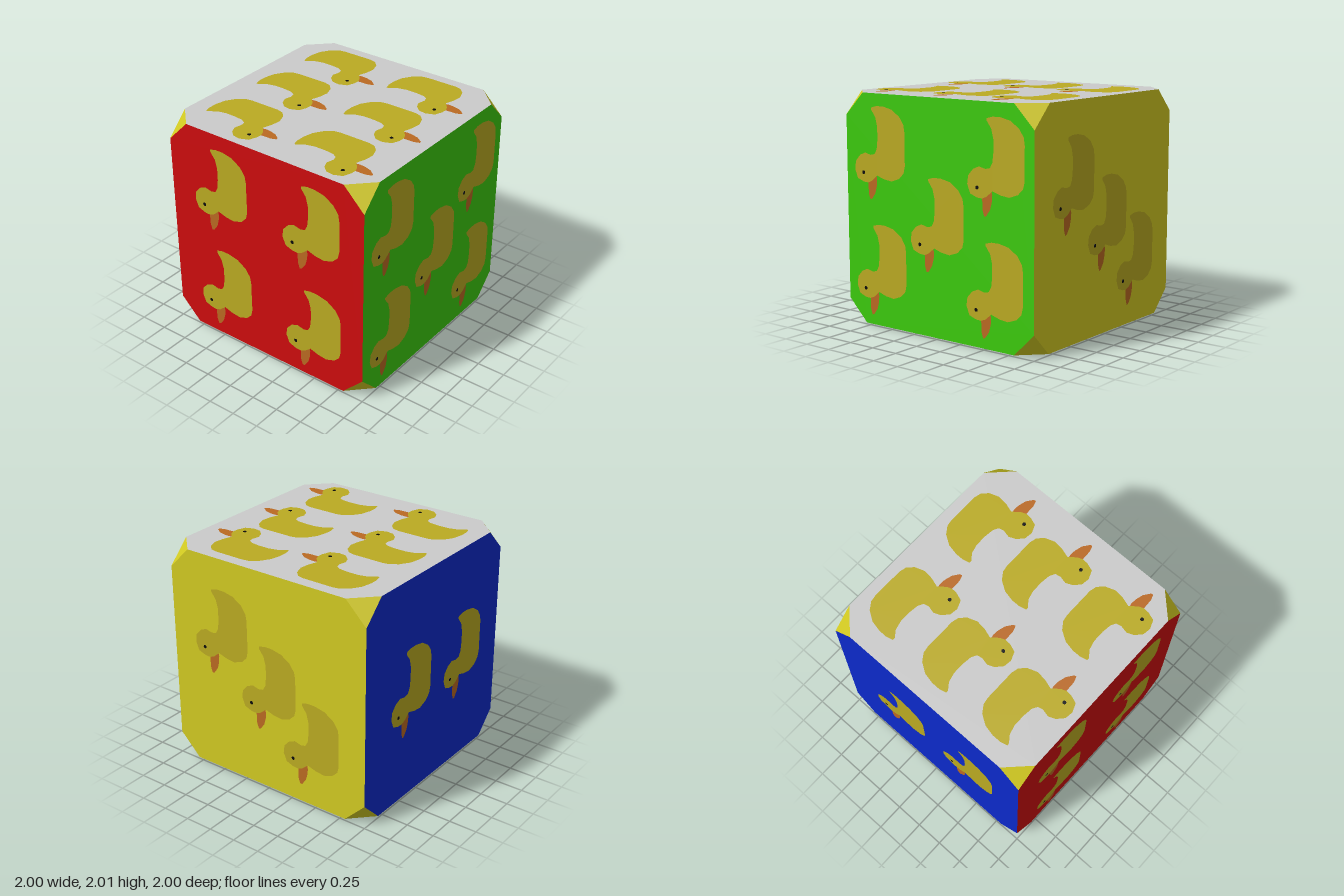
import * as THREE from 'three';

const H = 0.995;   // half the cube's side
const C = 0.195;   // size of the cut corners
const V = THREE.Vector3;

const mat = (name, color) => {
  const m = new THREE.MeshStandardMaterial({ color });
  m.name = name;
  return m;
};

// Duck outline around its eye: tail up, head at lower left, beak down
const BODY = [
  [.10, .555], [.16, .57], [.235, .57], [.33, .55], [.415, .495], [.46, .43], [.47, .37],
  [.47, .09], [.455, .03], [.405, -.02], [.32, -.05], [.235, -.04], [.155, -.015],
  [.095, -.065], [.05, -.083], [0, -.08], [-.07, -.055], [-.10, .02], [-.09, .09],
  [-.04, .145], [.02, .17], [.085, .155], [.13, .165], [.155, .21], [.165, .29],
  [.165, .395], [.145, .475], [.10, .535],
];
const BEAK = [
  [.05, -.07], [.095, -.055], [.145, -.015], [.152, -.05], [.148, -.1], [.13, -.165],
  [.09, -.22], [.07, -.225], [.053, -.175],
];

const flat = (pts) =>
  new THREE.ShapeGeometry(new THREE.Shape(pts.map(([x, y]) => new THREE.Vector2(x, y))));

export function createModel() {
  const red = mat('red', 0xce0c0e), green = mat('green', 0x3ccb0c);
  const grey = mat('light grey', 0xcbcbcb), yellow = mat('yellow', 0xd2ca22);
  const blue = mat('blue', 0x0c2acc), black = mat('black', 0x0a0a0a);
  const gold = mat('duck gold', 0xbbab22), orange = mat('beak orange', 0xbb6a22);

  const model = new THREE.Group();
  model.name = 'duckDie';
  const cube = new THREE.Group();
  cube.position.y = 1.005;
  model.add(cube);

  const add = (parent, name, geometry, material, z = 0) => {
    const mesh = new THREE.Mesh(geometry, material);
    mesh.name = name;
    mesh.position.z = z;
    parent.add(mesh);
    return mesh;
  };

  // Shared geometries
  const k = H - C;
  const octagon = flat([[-k, -H], [k, -H], [H, -k], [H, k], [k, H], [-k, H], [-H, k], [-H, -k]]);
  const body = flat(BODY);
  const beak = flat(BEAK);
  const eyeGeo = new THREE.CylinderGeometry(0.016, 0.016, 0.004, 8).rotateX(Math.PI / 2);
  const tallEyeGeo = new THREE.CylinderGeometry(0.02, 0.02, 0.0095, 8).rotateX(Math.PI / 2);

  // Faces: each has a duck-right and a duck-up direction, and the eye positions on it
  const X = new V(1, 0, 0), Y = new V(0, 1, 0), Z = new V(0, 0, 1);
  const neg = (v) => v.clone().negate();
  const faces = [
    { name: 'front', m: red, r: X, u: Y,
      ducks: [[-.645, .29], [.293, .282], [-.635, -.685], [.307, -.695]] },
    { name: 'leftSide', m: green, r: neg(Z), u: Y,
      ducks: [[-.80, .32], [.435, .31], [-.175, -.225], [-.80, -.685], [.42, -.685]] },
    { name: 'back', m: yellow, r: neg(X), u: Y,
      ducks: [[-.657, .15], [-.164, -.225], [.27, -.605]] },
    { name: 'rightSide', m: blue, r: Z, u: Y,
      ducks: [[-.54, -.185], [.24, -.17]] },
    { name: 'top', m: grey, r: neg(Z), u: neg(X),
      ducks: [[.427, .23], [.427, -.67], [-.187, .27], [-.187, -.67], [-.827, .27], [-.832, -.67]] },
    { name: 'bottom', m: black, r: neg(Z), u: X, eye: red,
      ducks: [[-.19, -.23]] },
  ];
  for (const f of faces) {
    const normal = new V().crossVectors(f.r, f.u);
    const face = new THREE.Group();
    face.name = f.name + 'Face';
    face.quaternion.setFromRotationMatrix(new THREE.Matrix4().makeBasis(f.r, f.u, normal));
    face.position.copy(normal).multiplyScalar(H);
    cube.add(face);
    add(face, f.name + 'Panel', octagon, f.m);
    for (const [x, y] of f.ducks) {
      const duck = new THREE.Group();
      duck.name = 'duck';
      duck.position.set(x, y, 0);
      face.add(duck);
      add(duck, 'duckBeak', beak, orange, 0.002);
      add(duck, 'duckBody', body, gold, 0.004);
      // The eye on the bottom face is a raised stud
      if (f.eye) add(duck, 'duckEye', tallEyeGeo, f.eye, 0.00525);
      else add(duck, 'duckEye', eyeGeo, black, 0.004);
    }
  }

  // Cut corners
  for (const sx of [-1, 1]) for (const sy of [-1, 1]) for (const sz of [-1, 1]) {
    const tri = [new V(sx * k, sy * H, sz * H), new V(sx * H, sy * k, sz * H), new V(sx * H, sy * H, sz * k)];
    if (sx * sy * sz < 0) tri.reverse();
    const g = new THREE.BufferGeometry().setFromPoints(tri);
    g.computeVertexNormals();
    add(cube, 'cutCorner', g, yellow);
  }
  return model;
}
